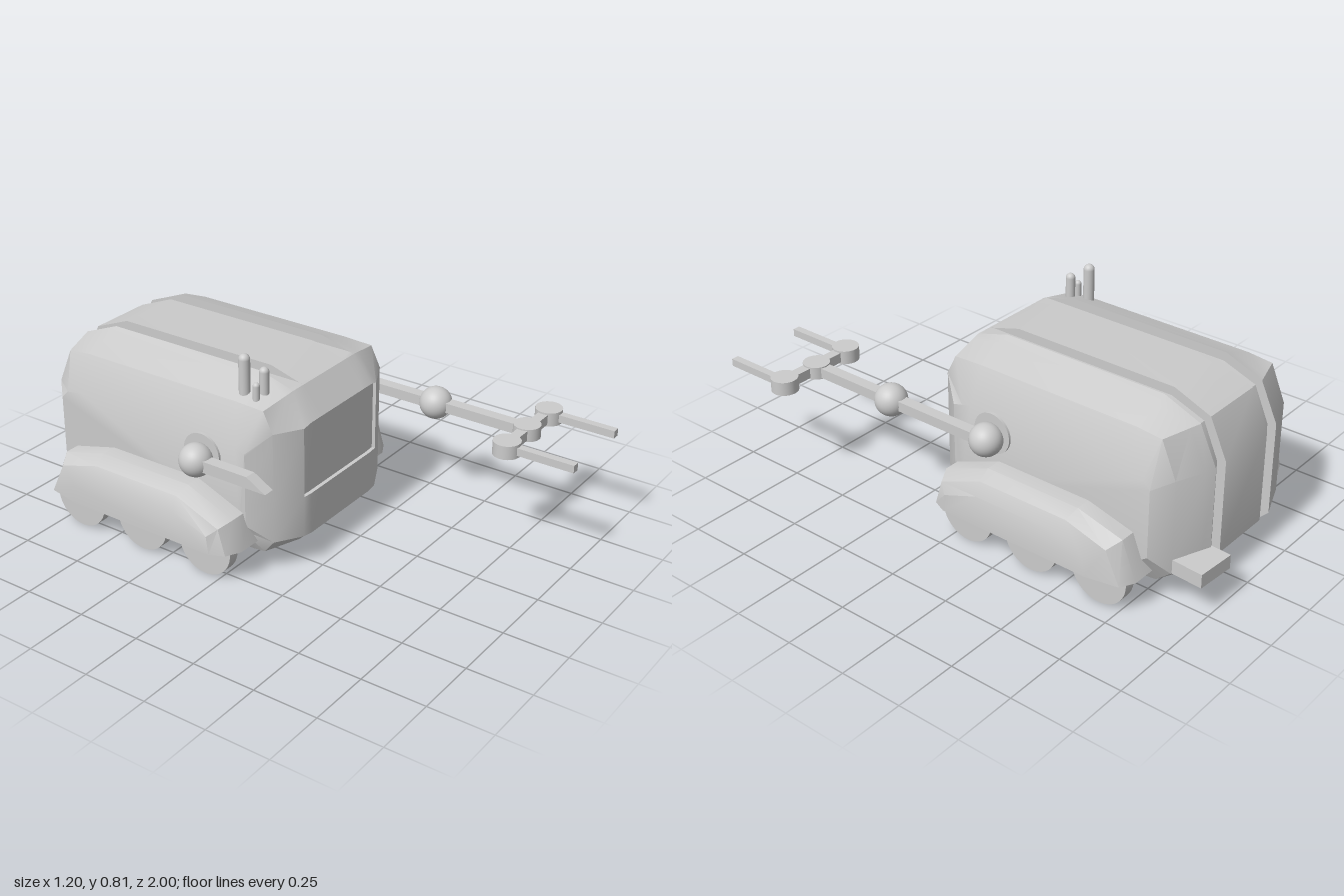
import * as THREE from 'three';
import { toCreasedNormals } from 'three/addons/utils/BufferGeometryUtils.js';

const CX = -0.06; // centre line of the hull
const grey = new THREE.MeshStandardMaterial({ color: 0xcccccc });

// Skin a list of [x, profile] stations (x ascending); a profile is a loop of [z, y] points.
function loft(stations) {
  const n = stations[0][1].length, pos = [], idx = [];
  for (const [x, profile] of stations) for (const [z, y] of profile) pos.push(x, y, z);
  for (let i = 0; i < stations.length - 1; i++) {
    for (let j = 0; j < n; j++) {
      const k = (j + 1) % n, p = i * n, q = p + n;
      idx.push(p + j, q + j, q + k, p + j, q + k, p + k);
    }
  }
  const last = (stations.length - 1) * n;
  for (let k = 1; k < n - 1; k++) idx.push(0, k, k + 1, last, last + k + 1, last + k);
  const g = new THREE.BufferGeometry();
  g.setAttribute('position', new THREE.Float32BufferAttribute(pos, 3));
  g.setIndex(idx);
  return toCreasedNormals(g, 0.5);
}

function mirrorStations(list, side) {
  return side > 0 ? list : list.map(([x, p]) => [-x, p]).reverse();
}

export function createModel() {
  const model = new THREE.Group();
  const add = (name, geometry, x = 0, y = 0, z = 0, parent = model) => {
    const mesh = new THREE.Mesh(geometry, grey);
    mesh.name = name;
    mesh.position.set(x, y, z);
    parent.add(mesh);
    return mesh;
  };
  const box = (w, h, d) => new THREE.BoxGeometry(w, h, d);
  const disc = (r, h) => new THREE.CylinderGeometry(r, r, h, 32);
  const ball = (r) => new THREE.SphereGeometry(r, 32, 20);

  // Hull side profiles: middle, shoulder and side wall
  const middle = [[0.14, 0.07], [0.2, 0.12], [0.2, 0.285], [0.185, 0.285], [0.185, 0.565], [0.2, 0.57],
    [0.12, 0.67], [-0.02, 0.71], [-0.7, 0.71], [-0.85, 0.65], [-0.92, 0.5], [-0.92, 0.13],
    [-0.86, 0.07], [-0.8, 0.055], [0.06, 0.055]];
  const shoulder = [[0.1, 0.08], [0.14, 0.13], [0.14, 0.285], [0.14, 0.285], [0.14, 0.56], [0.14, 0.565],
    [0.1, 0.645], [-0.02, 0.65], [-0.7, 0.65], [-0.8, 0.64], [-0.86, 0.5], [-0.86, 0.13],
    [-0.8, 0.08], [-0.75, 0.075], [0.05, 0.075]];
  const wall = [[0.03, 0.18], [0.06, 0.2], [0.06, 0.285], [0.06, 0.285], [0.06, 0.48], [0.06, 0.49],
    [0.02, 0.5], [-0.02, 0.51], [-0.7, 0.51], [-0.77, 0.5], [-0.8, 0.47], [-0.8, 0.2],
    [-0.77, 0.18], [-0.75, 0.18], [0, 0.18]];
  // Groove floor: the middle profile sunk along roof and back
  const groove = middle.map((p) => [...p]);
  [[0.1, 0.675], [-0.69, 0.675], [-0.825, 0.625], [-0.885, 0.49], [-0.885, 0.13]].forEach((p, i) => { groove[7 + i] = p; });
  // Edge of the recessed front window, with and without the recess
  const frame = middle.map(([z, y], i) => {
    const t = 0.27;
    const py = y + (shoulder[i][1] - y) * t;
    return i >= 1 && i <= 5 ? [i === 3 || i === 4 ? 0.182 : 0.196, i < 2 ? py : y - (i > 3 ? 0.01 : 0)]
      : [z + (shoulder[i][0] - z) * t, py];
  });
  const frameOuter = frame.map(([z, y], i) => [i === 3 || i === 4 ? 0.196 : z, y]);
  const half = [[0.13, middle], [0.13, groove], [0.19, groove], [0.19, middle],
    [0.23, frame], [0.23, frameOuter], [0.34, shoulder], [0.4, wall]];
  add('hull', loft([...mirrorStations(half, -1), ...half]), CX);

  // Fenders and wheels on both sides
  const arch = [[0.085, 0.13], [0.05, 0.25], [-0.15, 0.33], [-0.55, 0.33], [-0.74, 0.28], [-0.8, 0.13]];
  const archRim = [[0.055, 0.13], [0.025, 0.23], [-0.16, 0.305], [-0.54, 0.305], [-0.71, 0.255], [-0.77, 0.13]];
  const archFace = [[0, 0.13], [-0.01, 0.2], [-0.16, 0.255], [-0.52, 0.255], [-0.63, 0.2], [-0.64, 0.13]];
  const fender = [[0.36, arch], [0.46, arch], [0.515, archRim], [0.54, archFace]];
  const wheelGeo = new THREE.CylinderGeometry(0.115, 0.115, 0.045, 48).rotateZ(Math.PI / 2);
  for (const side of [1, -1]) {
    const word = side > 0 ? 'left' : 'right';
    add(word + 'Fender', loft(mirrorStations(fender, side)), CX);
    for (const z of [-0.065, -0.36, -0.66]) add(word + 'Wheel', wheelGeo, CX + side * 0.458, 0.115, z);
    // Round shoulder mount on the hull
    add(word + 'ArmMount', disc(0.08, 0.05).rotateZ(Math.PI / 2), CX + side * 0.384, 0.44, -0.125);
    add(word + 'Shoulder', ball(0.063), CX + side * 0.44, 0.43, -0.125);
  }

  // Long arm with a two-pronged gripper
  const arm = new THREE.Group();
  arm.name = 'gripperArm';
  arm.position.set(0.383, 0.43, 0);
  model.add(arm);
  add('armBeam', box(0.045, 0.04, 0.84), 0, 0, 0.3, arm);
  add('elbow', ball(0.063), 0, 0, 0.33, arm);
  add('wrist', disc(0.052, 0.05), 0, 0, 0.72, arm);
  add('gripperBar', box(0.32, 0.04, 0.04), 0, 0, 0.725, arm);
  for (const s of [1, -1]) {
    add('knuckle', disc(0.052, 0.054), s * 0.161, 0, 0.725, arm);
    add('prong', box(0.03, 0.03, 0.275), s * 0.161, 0, 0.8625, arm);
  }

  // Short arm with a slanted tip
  const stub = [[-0.13, 0.405], [0.2, 0.405], [0.12, 0.45], [-0.13, 0.45]];
  add('shortArm', loft([[-0.528, stub], [-0.483, stub]]));

  // Rear step
  add('rearStep', box(0.16, 0.055, 0.16), 0.2, 0.158, -0.913).rotation.y = -0.07;

  // Rounded antennas on the roof corner: x, z, radius, top height
  for (const [x, z, r, top] of [[-0.35, -0.017, 0.021, 0.815], [-0.32, 0.047, 0.018, 0.77], [-0.363, 0.044, 0.013, 0.725]]) {
    const length = top - 0.6;
    add('antenna', new THREE.CapsuleGeometry(r, length - 2 * r, 8, 20), x, top - length / 2, z);
  }
  return model;
}
